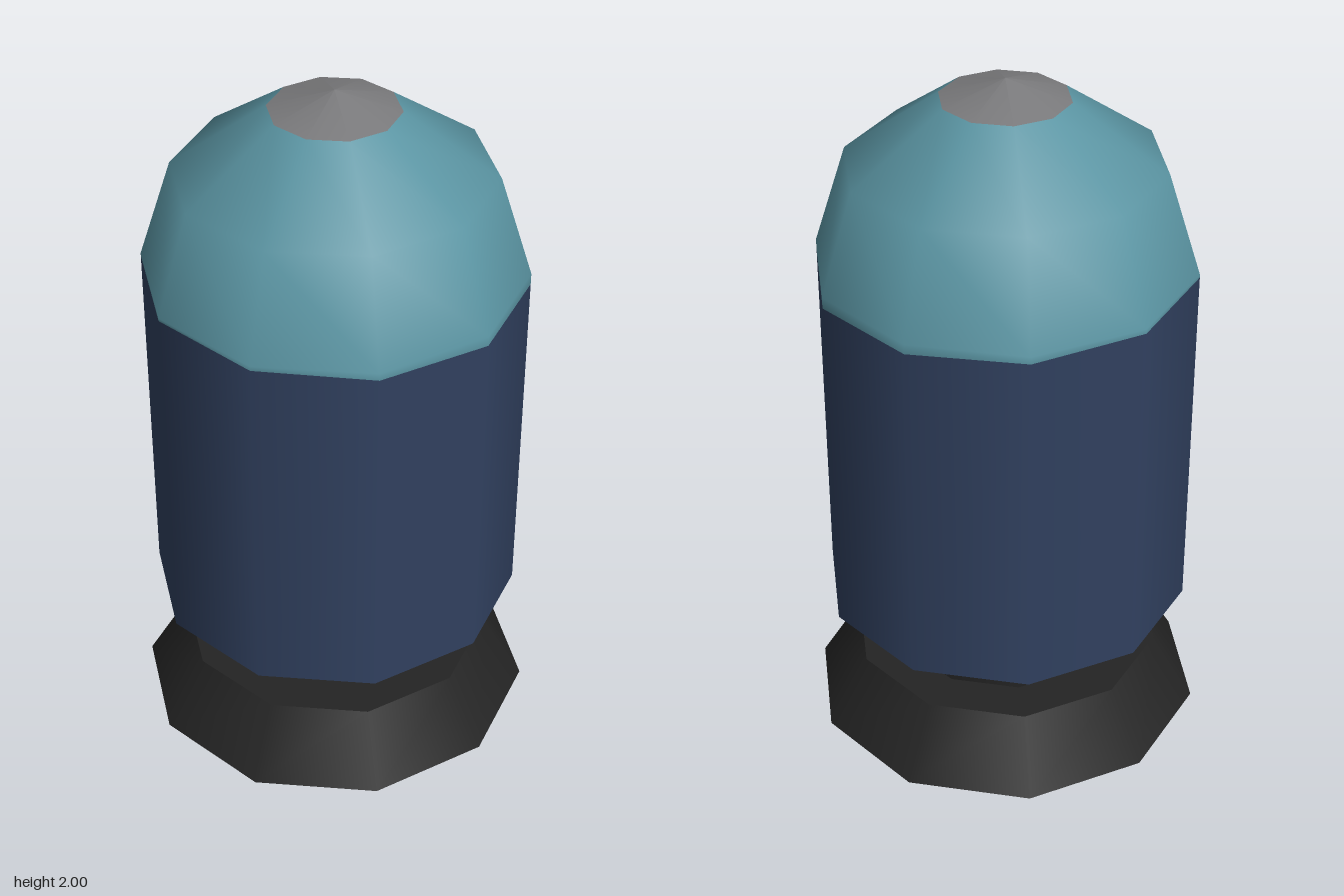
import * as THREE from 'three';

const SIDES = 10;

export function createModel() {
  const group = new THREE.Group();
  const material = (name, color) => {
    const m = new THREE.MeshStandardMaterial({ color });
    m.name = name;
    return m;
  };
  const black = material('black', 0x242424);
  const navy = material('navy', 0x314160);
  const teal = material('teal', 0x5a94a2);
  const grey = material('grey', 0x7a7a7c);

  const add = (name, geometry, mat) => {
    const mesh = new THREE.Mesh(geometry, mat);
    mesh.name = name;
    group.add(mesh);
  };
  const drum = (rTop, rBottom, y0, y1) =>
    new THREE.CylinderGeometry(rTop, rBottom, y1 - y0, SIDES).translate(0, (y0 + y1) / 2, 0);
  const lathe = (points) =>
    new THREE.LatheGeometry(points.map(([r, y]) => new THREE.Vector2(r, y)), SIDES);

  // Lean the colour boundary slightly towards +x
  const SEAM = 1.447;
  const tiltSeam = (geometry) => {
    const p = geometry.attributes.position;
    for (let i = 0; i < p.count; i++) {
      if (Math.abs(p.getY(i) - SEAM) < 1e-4) p.setY(i, SEAM - 0.024 * p.getX(i));
    }
    return geometry;
  };

  // Flared foot and narrow neck
  add('base', drum(0.458, 0.58, 0, 0.205), black);
  add('neck', drum(0.327, 0.327, 0.2, 0.395), black);

  // Straight body with a faceted dome and tip
  add('body', tiltSeam(drum(0.538, 0.538, 0.392, SEAM)), navy);
  add('dome', tiltSeam(lathe([[0.538, SEAM], [0.538, 1.468], [0.445, 1.76], [0.181, 1.945]])), teal);
  add('tip', lathe([[0.181, 1.945], [0, 2]]), grey);

  return group;
}
